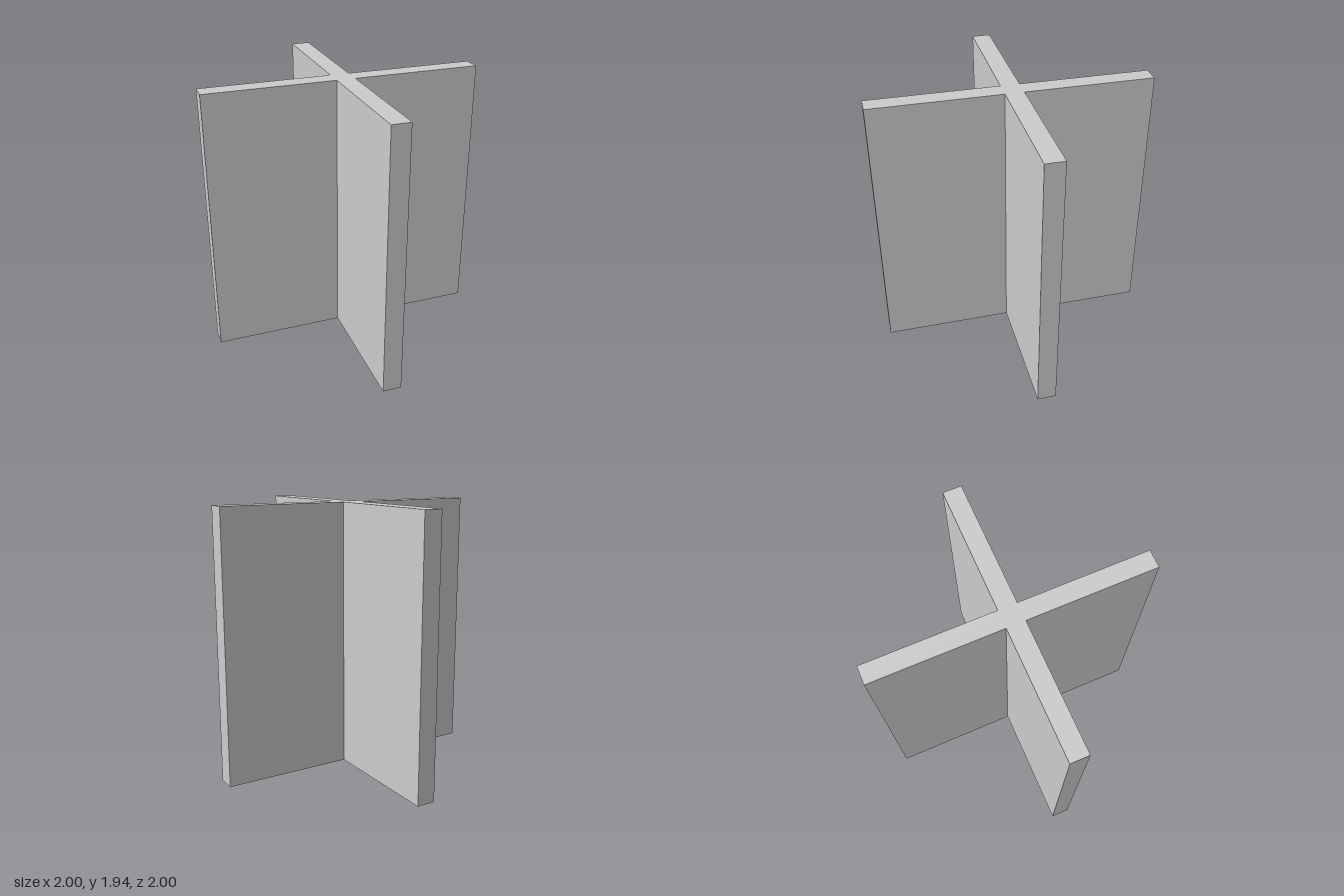
import * as THREE from 'three';

const HEIGHT = 1.94;
const REACH = 1;      // centre to the end of each arm
const HALF = 0.067;   // half the panel thickness

export function createModel() {
  const group = new THREE.Group();
  group.name = 'crossPanels';

  // Plus-shaped outline: three corners per arm, turned by quarter circles
  const arm = [[REACH, -HALF], [REACH, HALF], [HALF, HALF]];
  const points = [];
  for (let i = 0; i < 4; i++) {
    for (const [x, y] of arm) {
      points.push(new THREE.Vector2(x, y).rotateAround(new THREE.Vector2(), i * Math.PI / 2));
    }
  }

  // Extrude the outline upward into one solid with no inner faces
  const geometry = new THREE.ExtrudeGeometry(new THREE.Shape(points), {
    depth: HEIGHT,
    bevelEnabled: false,
  });
  geometry.rotateX(-Math.PI / 2);

  const cross = new THREE.Mesh(
    geometry,
    new THREE.MeshStandardMaterial({ color: 0xcccccc, flatShading: true })
  );
  cross.name = 'crossedPanels';
  group.add(cross);
  return group;
}
